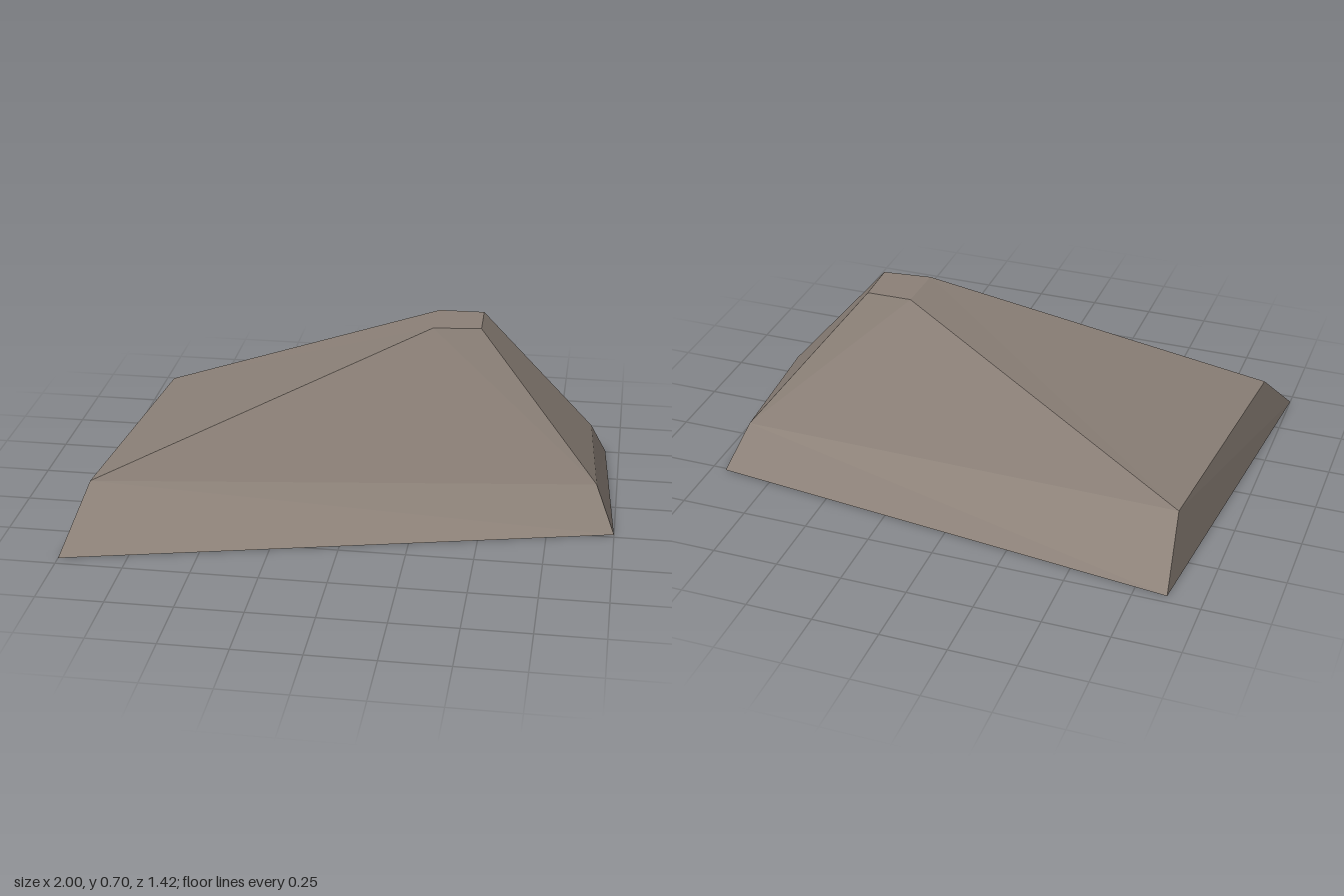
import * as THREE from 'three';

// Three four-cornered rings, each running front -x, front +x, back +x, back -x
const BASE = [[-1, 0, 0.71], [1, 0, 0.23], [0.945, 0, -0.51], [-0.87, 0, -0.715]];
const SHOULDER = [[-0.93, 0.21, 0.485], [0.925, 0.155, 0.13], [0.885, 0.16, -0.4], [-0.845, 0.215, -0.5]];
const CREST = [[0.285, 0.7, 0.005], [0.465, 0.7, -0.015], [0.46, 0.7, -0.19], [0.29, 0.7, -0.187]];

// Joins two rings; sides listed in flipped fold along the other diagonal
function band(low, up, flipped = []) {
  const points = [];
  for (let i = 0; i < 4; i++) {
    const j = (i + 1) % 4;
    const [a, b, c, d] = [low[i], low[j], up[j], up[i]];
    if (flipped.includes(i)) points.push(a, b, c, a, c, d);
    else points.push(a, b, d, b, c, d);
  }
  return points;
}

// Closes a ring with two triangles
const cap = ([a, b, c, d]) => [a, b, c, a, c, d];

export function createModel() {
  const group = new THREE.Group();
  group.name = 'rock';
  const stone = new THREE.MeshStandardMaterial({ color: 0x8c8178, flatShading: true });
  stone.name = 'warm grey stone';

  const addPart = (name, points) => {
    const geometry = new THREE.BufferGeometry();
    geometry.setAttribute('position', new THREE.Float32BufferAttribute(points.flat(), 3));
    geometry.computeVertexNormals();
    const mesh = new THREE.Mesh(geometry, stone);
    mesh.name = name;
    group.add(mesh);
  };

  // Steep foot, long slopes, flat crest and underside
  addPart('foot', band(BASE, SHOULDER));
  addPart('slopes', band(SHOULDER, CREST, [2, 3].filter((side) => side === 2)
    .concat(3)));
  addPart('crest', cap(CREST));
  addPart('underside', cap([...BASE].reverse()));
  return group;
}
